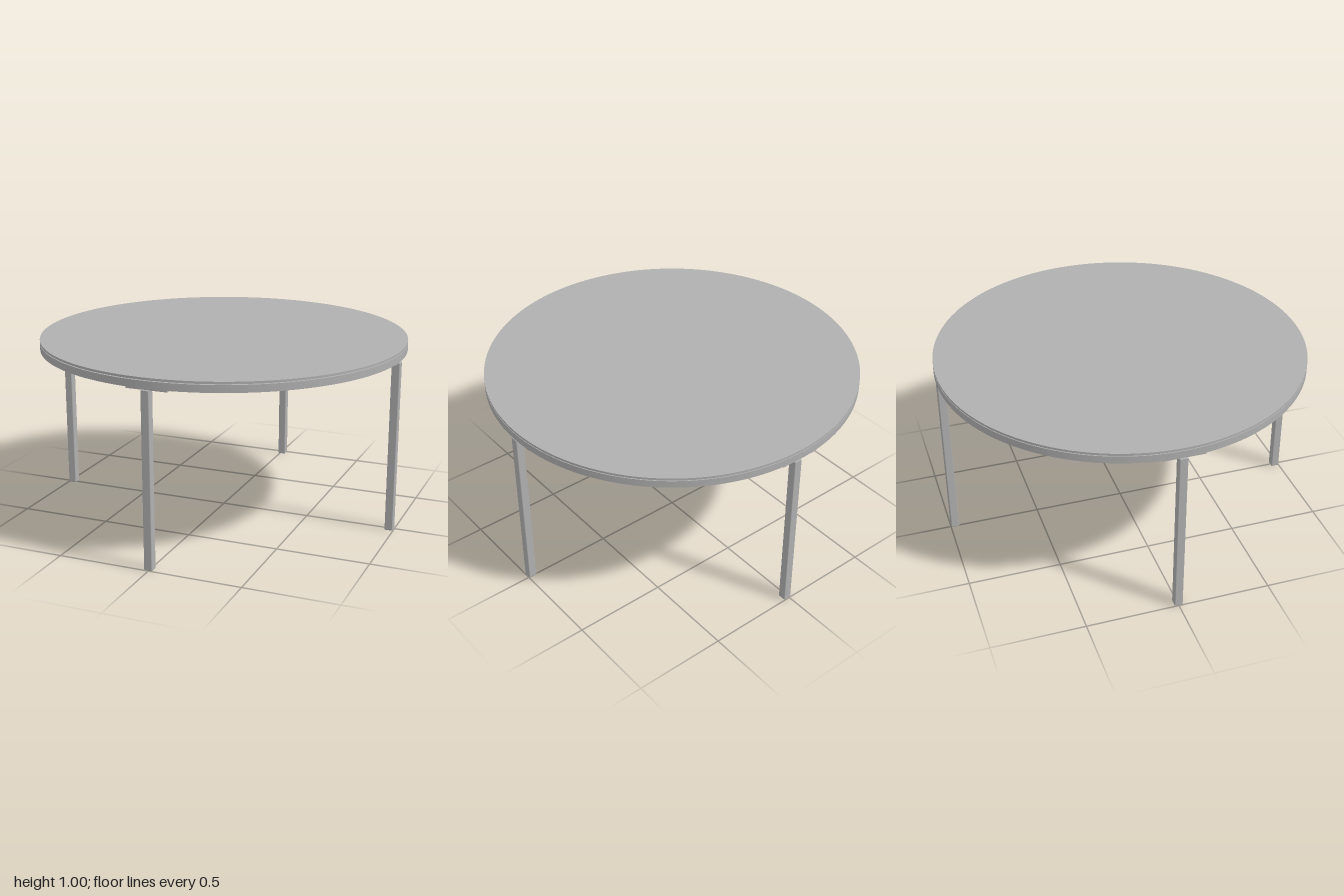
import * as THREE from 'three';
import { RoundedBoxGeometry } from 'three/addons/geometries/RoundedBoxGeometry.js';

const SEGMENTS = 128;

export function createModel() {
  const model = new THREE.Group();
  model.name = 'roundTable';
  const grey = new THREE.MeshStandardMaterial({ color: 0xb0b0b0 });
  grey.name = 'grey';

  const add = (parent, name, geometry, x, y, z) => {
    const mesh = new THREE.Mesh(geometry, grey);
    mesh.name = name;
    mesh.position.set(x, y, z);
    parent.add(mesh);
    return mesh;
  };

  // Thin round top, with a slightly recessed spacer forming the shadow gap below it
  add(model, 'tableTop', new THREE.CylinderGeometry(1, 1, 0.012, SEGMENTS), 0, 0.994, 0);
  add(model, 'spacer', new THREE.CylinderGeometry(0.985, 0.985, 0.008, SEGMENTS), 0, 0.985, 0);

  // Ring frame, open in the middle
  const ring = new THREE.Shape().absarc(0, 0, 1, 0, Math.PI * 2);
  ring.holes.push(new THREE.Path().absarc(0, 0, 0.914, 0, Math.PI * 2, true));
  const ringGeometry = new THREE.ExtrudeGeometry(ring, {
    depth: 0.039, bevelEnabled: false, curveSegments: SEGMENTS,
  });
  ringGeometry.rotateX(-Math.PI / 2);
  add(model, 'ringFrame', ringGeometry, 0, 0.945, 0);

  // Four square legs at the quarter points, each with a mounting plate
  const legGeometry = new RoundedBoxGeometry(0.045, 0.937, 0.045, 2, 0.005);
  const plateGeometry = new THREE.BoxGeometry(0.22, 0.009, 0.045);
  const legNames = ['frontLeg', 'leftLeg', 'backLeg', 'rightLeg'];
  const sideways = [-0.002, -0.015, -0.012, 0]; // small shift along the rim
  legNames.forEach((name, i) => {
    const leg = new THREE.Group();
    leg.name = name;
    leg.rotation.y = i * Math.PI / 2;
    add(leg, 'post', legGeometry, sideways[i], 0.4685, 0.976);
    add(leg, 'mountingPlate', plateGeometry, 0.005, 0.9405, 0.968);
    model.add(leg);
  });

  return model;
}
